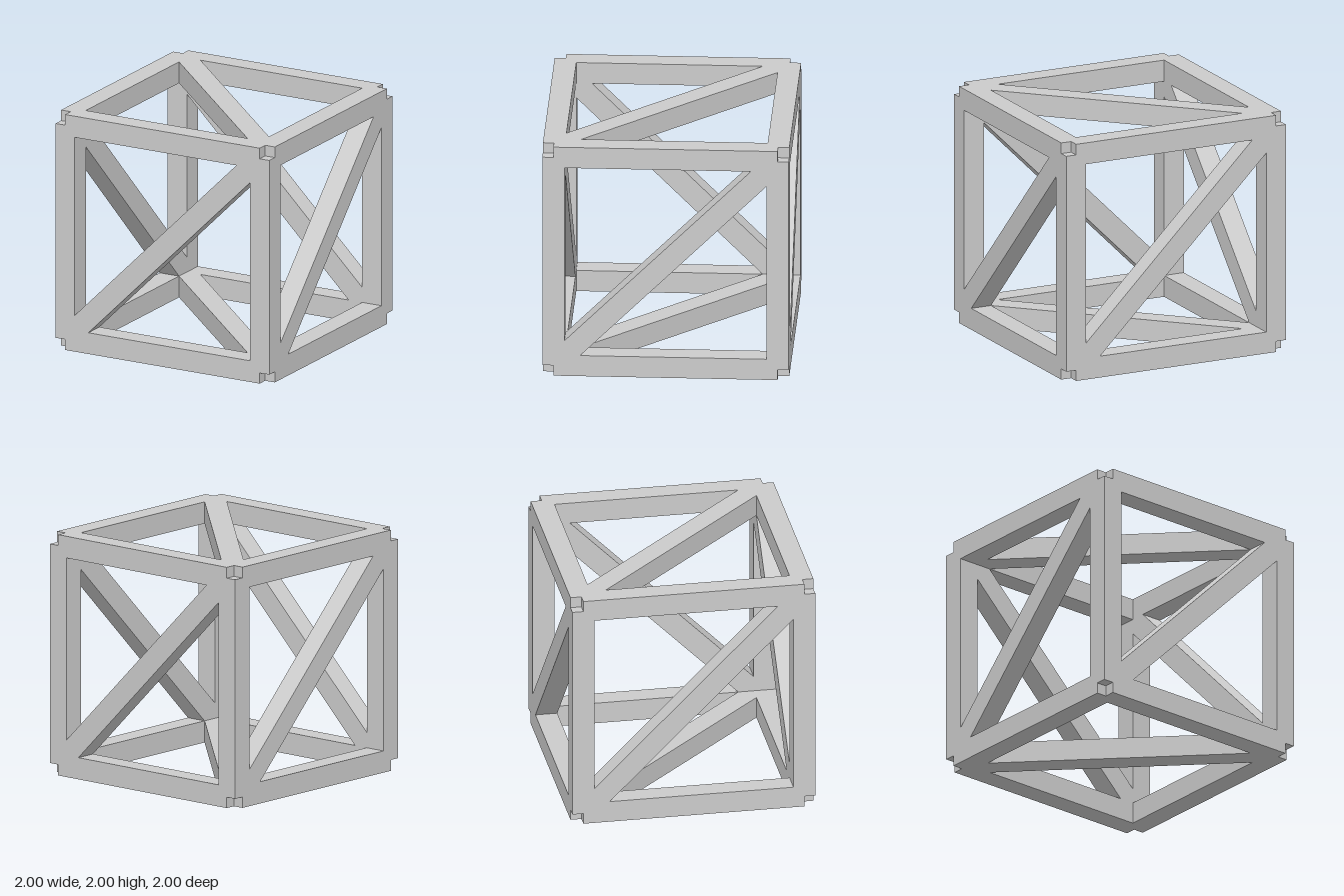
import * as THREE from 'three';

const T = 0.18;          // beam thickness
const C = 1 - T / 2;     // distance of beam centre lines from the cube centre

export function createModel() {
  const model = new THREE.Group();
  model.name = 'bracedCubeFrame';
  const material = new THREE.MeshStandardMaterial({ color: 0xcccccc, flatShading: true });

  // Square beam between two cube corners (given as signs), turned within its face plane
  function beam(name, a, b) {
    const from = new THREE.Vector3(...a).multiplyScalar(C);
    const to = new THREE.Vector3(...b).multiplyScalar(C);
    const dir = to.clone().sub(from);
    const length = dir.length();
    dir.normalize();
    const alongX = Math.abs(dir.z) < 1e-6;
    const geometry = alongX
      ? new THREE.BoxGeometry(length, T, T)
      : new THREE.BoxGeometry(T, T, length);
    const axis = alongX ? new THREE.Vector3(1, 0, 0) : new THREE.Vector3(0, 0, 1);
    const mesh = new THREE.Mesh(geometry, material);
    mesh.name = name;
    mesh.quaternion.setFromUnitVectors(axis, dir);
    mesh.position.copy(from).add(to).multiplyScalar(0.5);
    mesh.position.y += 1;
    model.add(mesh);
  }

  // Twelve edge beams; they stop at the corner centres, leaving a notch at each corner
  for (const p of [-1, 1]) {
    for (const q of [-1, 1]) {
      beam('widthBeam', [-1, p, q], [1, p, q]);
      beam('upright', [p, -1, q], [p, 1, q]);
      beam('depthBeam', [p, q, -1], [p, q, 1]);
    }
  }

  // One diagonal brace per face
  beam('frontBrace', [-1, -1, 1], [1, 1, 1]);
  beam('backBrace', [1, -1, -1], [-1, 1, -1]);
  beam('leftBrace', [1, -1, 1], [1, 1, -1]);
  beam('rightBrace', [-1, -1, -1], [-1, 1, 1]);
  beam('topBrace', [-1, 1, -1], [1, 1, 1]);
  beam('bottomBrace', [-1, -1, -1], [1, -1, 1]);

  return model;
}
